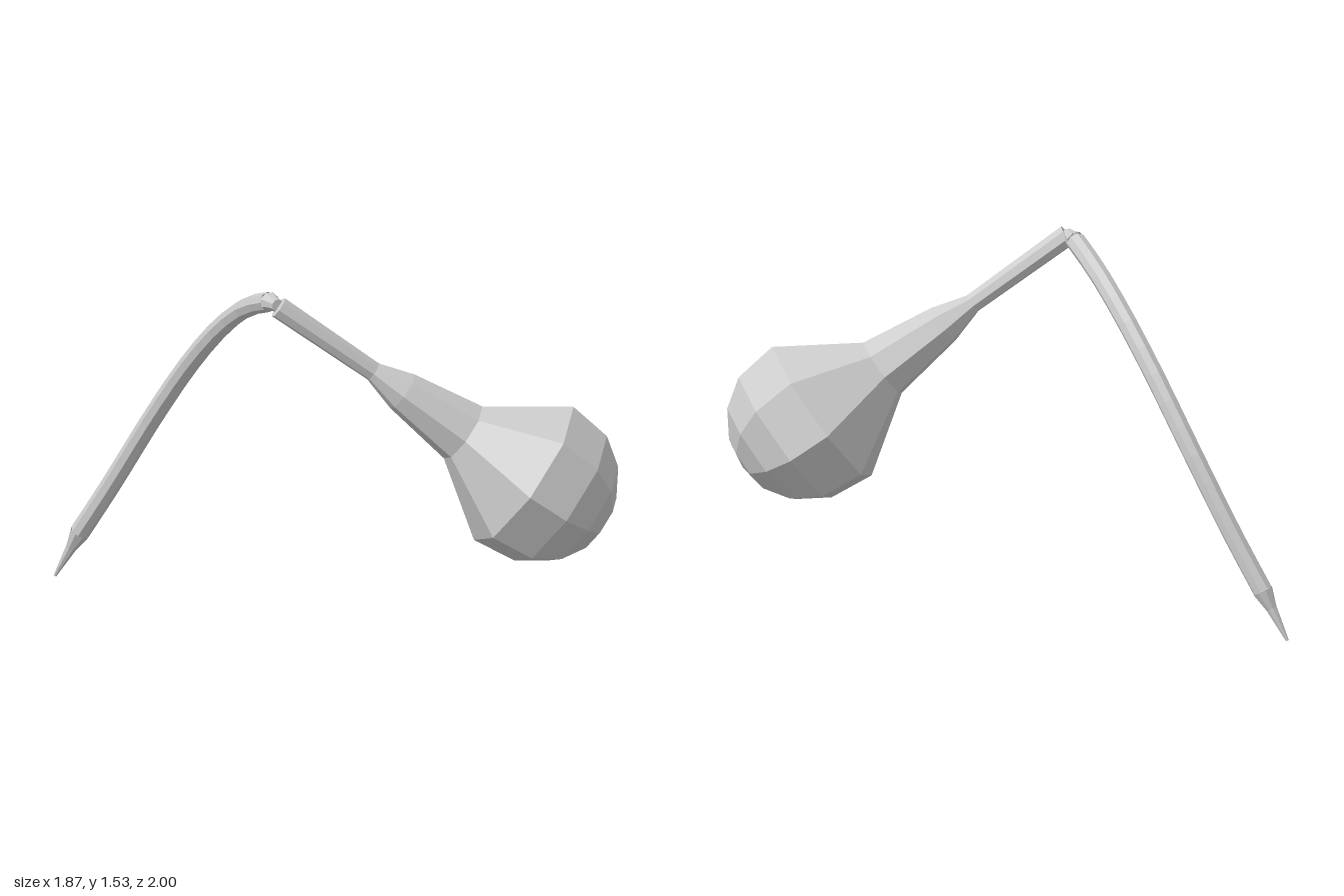
import * as THREE from 'three';

const SIDES = 8;
const V = (x, y, z) => new THREE.Vector3(x, y, z);
const material = new THREE.MeshStandardMaterial({ color: 0xcccccc, flatShading: true, side: THREE.DoubleSide });

// Faceted solid of revolution: profile holds [radius, distance] along dir from origin
function spindle(name, origin, dir, profile, phase = 0) {
  const d = dir.clone().normalize();
  const u = V(-d.y, d.x, 0).normalize();
  const v = d.clone().cross(u);
  const geometry = new THREE.LatheGeometry(profile.map(([r, t]) => new THREE.Vector2(r, t)), SIDES, phase);
  geometry.applyMatrix4(new THREE.Matrix4().makeBasis(v, d, u).setPosition(origin));
  const mesh = new THREE.Mesh(geometry, material);
  mesh.name = name;
  return mesh;
}

export function createModel() {
  const group = new THREE.Group();
  group.name = 'hangingBulbFlask';

  // Narrow neck flaring into a round bulb with a domed end
  const bulbCentre = 1.345, bulbRadius = 0.365;
  const profile = [[0, 0], [0.048, 0], [0.043, 0.5], [0.09, 0.654], [0.14, 0.974], [0.36, 1.294]];
  for (const degrees of [23, 46, 68, 90]) {
    const a = THREE.MathUtils.degToRad(degrees);
    profile.push([bulbRadius * Math.cos(a), bulbCentre + bulbRadius * Math.sin(a)]);
  }
  group.add(spindle('neckAndBulb', V(-0.45, 1.485, 0.29), V(0.765, -0.589, 0.26), profile,
    THREE.MathUtils.degToRad(12)));

  // Long curved spout
  const curve = new THREE.CatmullRomCurve3([
    V(-0.452, 1.485, 0.2), V(-0.465, 1.41, 0), V(-0.497, 1.275, -0.2), V(-0.553, 1.07, -0.4),
    V(-0.635, 0.79, -0.6), V(-0.755, 0.44, -0.79), V(-0.845, 0.21, -0.91),
  ]);
  const spout = new THREE.Mesh(new THREE.TubeGeometry(curve, 14, 0.043, SIDES), material);
  spout.name = 'spout';
  group.add(spout);

  // Short joint between the neck and the spout
  const spoutStart = curve.getPoint(0);
  const jointDir = V(-0.45, 1.49, 0.28).sub(spoutStart);
  group.add(spindle('joint', spoutStart, jointDir, [[0.043, 0], [0.03, 0.05], [0.028, 0.085], [0, 0.085]]));

  // Pointed nozzle
  const spoutEnd = curve.getPoint(1);
  const tipDir = V(-0.922, 0.003, -0.997).sub(spoutEnd);
  const length = tipDir.length();
  group.add(spindle('nozzle', spoutEnd, tipDir,
    [[0.045, 0], [0.024, 0.36 * length], [0.007, length], [0, length]]));

  return group;
}
